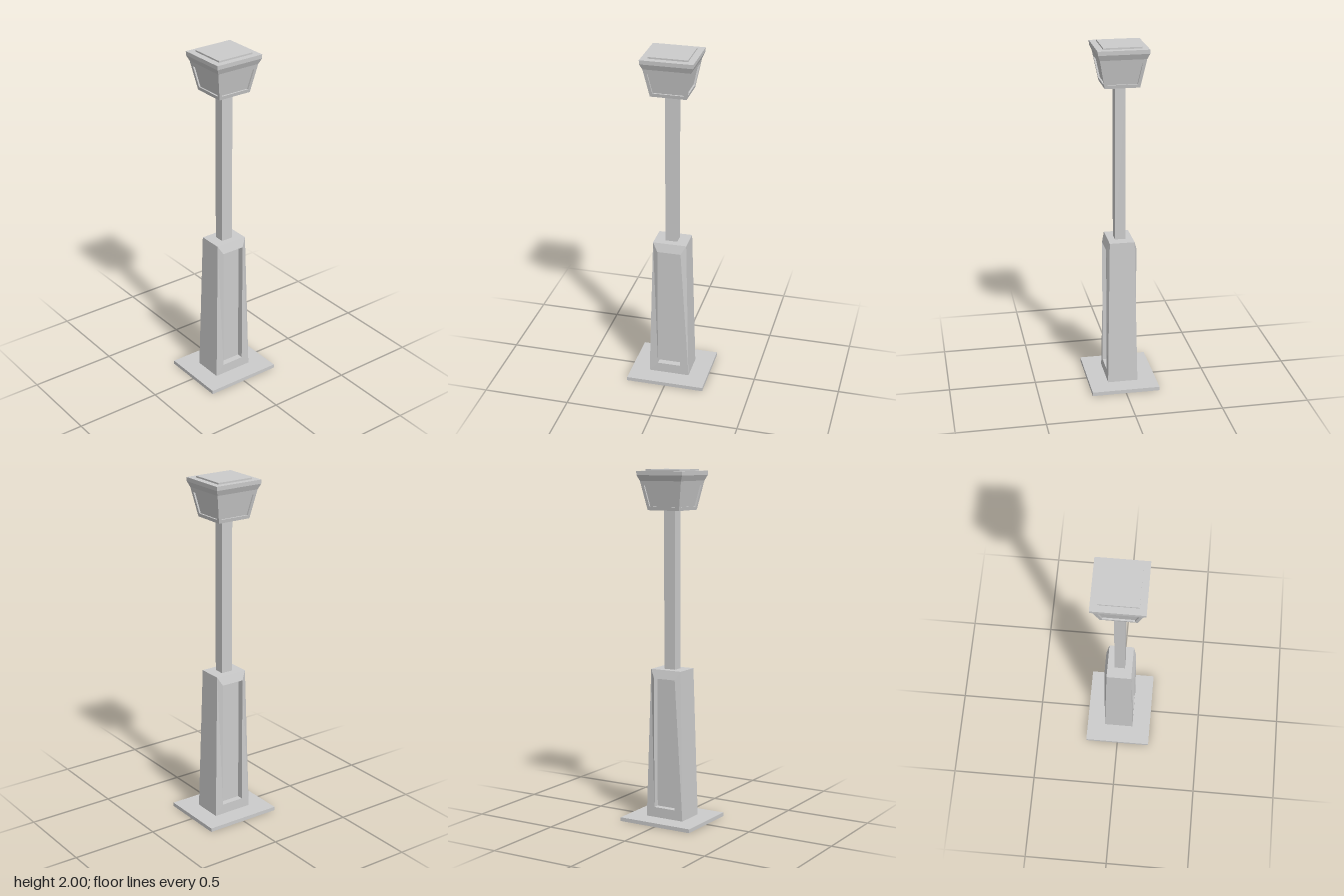
import * as THREE from 'three';

const grey = new THREE.MeshStandardMaterial({ color: 0xcccccc, flatShading: true, side: THREE.DoubleSide });

function mesh(name, geometry) {
  const m = new THREE.Mesh(geometry, grey);
  m.name = name;
  return m;
}

// flat-shaded geometry from four-cornered faces, corners counter-clockwise from outside
function quads(list) {
  const pos = [];
  for (const [a, b, c, d] of list) pos.push(...a, ...b, ...c, ...a, ...c, ...d);
  const g = new THREE.BufferGeometry();
  g.setAttribute('position', new THREE.Float32BufferAttribute(pos, 3));
  g.computeVertexNormals();
  return g;
}

// faces joining two four-cornered loops
const bridge = (p, q) => p.map((_, i) => [p[i], p[(i + 1) % 4], q[(i + 1) % 4], q[i]]);

// upright trapezoid facing +z: [y, halfWidth, depth] at the bottom and at the top
const trapezoid = ([y0, w0, z0], [y1, w1, z1]) =>
  [[-w0, y0, z0], [w0, y0, z0], [w1, y1, z1], [-w1, y1, z1]];

// a wall with a sunken panel: outer edge, rim of the opening, back of the recess
const recessedWall = (outer, rim, back) =>
  quads([...bridge(outer, rim), ...bridge(rim, back), back]);

// horizontal rectangle, counter-clockwise from above
const rectangle = ([y, x, z]) => [[-x, y, z], [x, y, z], [x, y, -z], [-x, y, -z]];

// stacked rectangular sections [y, halfX, halfZ] with closed ends
function stack(sections) {
  const loops = sections.map(rectangle);
  const faces = [[...loops[0]].reverse(), loops[loops.length - 1]];
  for (let i = 1; i < loops.length; i++) faces.push(...bridge(loops[i - 1], loops[i]));
  return quads(faces);
}

function createBasePlate() {
  const outline = (x, z) => [[-x, -z], [x, -z], [x, z], [-x, z]].map(p => new THREE.Vector2(...p));
  const shape = new THREE.Shape(outline(0.196, 0.228));
  shape.holes.push(new THREE.Path(outline(0.087, 0.119)));
  const g = new THREE.ExtrudeGeometry(shape, { depth: 0.022, bevelEnabled: false });
  return mesh('basePlate', g.rotateX(-Math.PI / 2));
}

function createPedestal() {
  const group = new THREE.Group();
  group.name = 'pedestal';
  const y0 = 0.02, y1 = 0.88, x0 = 0.087, x1 = 0.071, z0 = 0.119, z1 = 0.097;
  for (const [i, side] of ['front', 'left', 'back', 'right'].entries()) {
    const plain = i % 2 === 0;
    const g = plain
      ? quads([trapezoid([y0, x0, z0], [y1, x1, z1])])
      // the rim stands upright while the wall around it leans in
      : recessedWall(
          trapezoid([y0, z0, x0], [y1, z1, x1]),
          trapezoid([0.08, 0.068, 0.087], [0.83, 0.068, 0.087]),
          trapezoid([0.08, 0.068, 0.05], [0.83, 0.068, 0.05]));
    group.add(mesh(side + 'Wall', g.rotateY(i * Math.PI / 2)));
  }
  group.add(mesh('pedestalTop', quads([rectangle([y1, x1, z1])])));
  return group;
}

function createHead() {
  const group = new THREE.Group();
  group.name = 'lampHead';
  const y0 = 1.775, y1 = 1.937;
  const low = { x: 0.097, z: 0.101 }, high = { x: 0.128, z: 0.132 };

  // four leaning walls, each with a shallow sunken window
  for (const [i, side] of ['front', 'left', 'back', 'right'].entries()) {
    const [w, d] = i % 2 === 0 ? ['x', 'z'] : ['z', 'x'];
    const at = (y, margin, sink) => {
      const t = (y - y0) / (y1 - y0);
      return [y, THREE.MathUtils.lerp(low[w], high[w], t) - margin,
        THREE.MathUtils.lerp(low[d], high[d], t) - sink];
    };
    const g = recessedWall(
      trapezoid(at(y0, 0, 0), at(y1, 0, 0)),
      trapezoid(at(1.795, 0.018, 0), at(1.912, 0.018, 0)),
      trapezoid(at(1.795, 0.018, 0.01), at(1.912, 0.018, 0.01)));
    group.add(mesh(side + 'Window', g.rotateY(i * Math.PI / 2)));
  }
  group.add(mesh('headBottom', quads([rectangle([y0, low.x, low.z]).reverse()])));

  // flared cornice and the thin lid on top
  group.add(mesh('cornice', stack([
    [y1, high.x, high.z], [1.968, 0.141, 0.146], [1.991, 0.142, 0.147]])));
  group.add(mesh('lid', stack([[1.99, 0.106, 0.11], [2, 0.106, 0.11]])));
  return group;
}

export function createModel() {
  const model = new THREE.Group();
  model.name = 'lampPost';
  model.add(createBasePlate(), createPedestal());
  model.add(mesh('pole', stack([[0.88, 0.03, 0.035], [1.776, 0.03, 0.035]])));
  model.add(createHead());
  return model;
}
